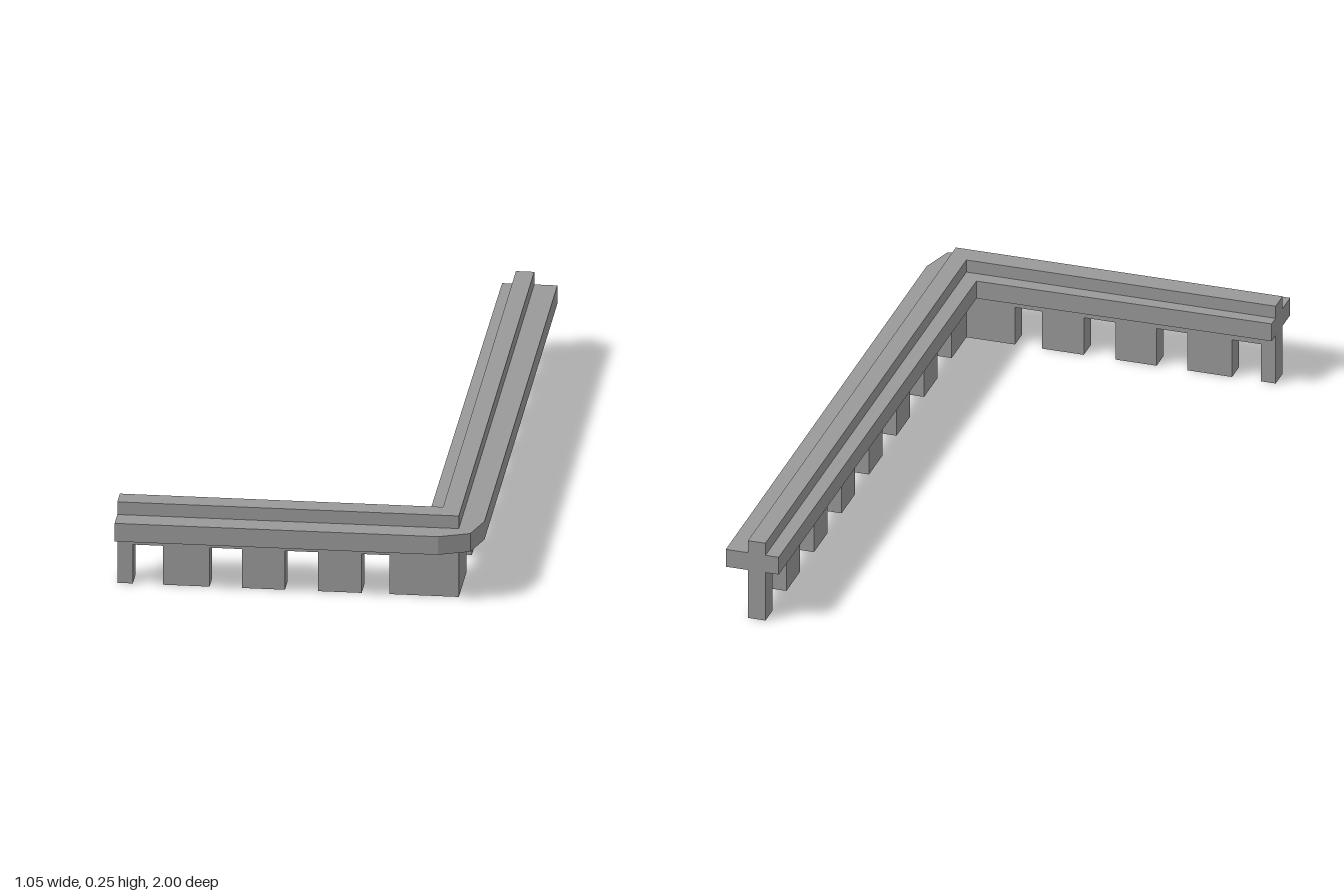
import * as THREE from 'three';

const HEIGHT = 0.25, GAP = 0.12;
const LEDGE_TOP = 0.211, LEDGE_DEPTH = 0.056;

// Flat outline of a wall running from start to end, with notches cut up from the ground
function wallShape(start, end, gaps) {
  const s = new THREE.Shape();
  s.moveTo(start, 0);
  for (const [a, b] of gaps) {
    s.lineTo(a, 0);
    s.lineTo(a, GAP);
    s.lineTo(b, GAP);
    s.lineTo(b, 0);
  }
  s.lineTo(end, 0);
  s.lineTo(end, HEIGHT);
  s.lineTo(start, HEIGHT);
  return s;
}

const extrude = (shape, depth) => new THREE.ExtrudeGeometry(shape, { depth, bevelEnabled: false });

// Horizontal slab from an outline of [x, z] points
function slab(points) {
  const shape = new THREE.Shape(points.map(([x, z]) => new THREE.Vector2(x, z)));
  return extrude(shape, LEDGE_DEPTH).rotateX(Math.PI / 2).translate(0, LEDGE_TOP, 0);
}

export function createModel() {
  const model = new THREE.Group();
  model.name = 'cornerWall';
  const stone = new THREE.MeshStandardMaterial({ color: 0x999999, flatShading: true });
  stone.name = 'grey stone';

  const add = (name, geometry) => {
    const mesh = new THREE.Mesh(geometry, stone);
    mesh.name = name;
    model.add(mesh);
  };

  // Short wall along the front, including the corner pier
  const frontGaps = [[-0.485, -0.398], [-0.263, -0.17], [-0.045, 0.05], [0.177, 0.258]];
  add('frontWall', extrude(wallShape(-0.53, 0.458, frontGaps), 0.065).translate(0, 0, 0.865));

  // Long wall along the left side, with evenly spaced notches
  const sideGaps = [];
  for (let i = 0; i < 7; i++) {
    const z = -0.935 + i * 0.2555;
    sideGaps.push([z, z + 0.13]);
  }
  add('sideWall', extrude(wallShape(-1, 0.865, sideGaps), 0.053)
    .rotateY(-Math.PI / 2).translate(0.458, 0, 0));

  // Outer ledge with a chamfered corner
  add('outerLedge', slab([
    [-0.53, 0.93], [-0.53, 1], [0.405, 1], [0.495, 0.965], [0.525, 0.865],
    [0.525, -1], [0.458, -1], [0.458, 0.93],
  ]));

  // Inner ledge with a square corner
  add('innerLedge', slab([
    [-0.53, 0.865], [0.405, 0.865], [0.405, -1], [0.365, -1], [0.36, 0.82], [-0.53, 0.828],
  ]));

  return model;
}
